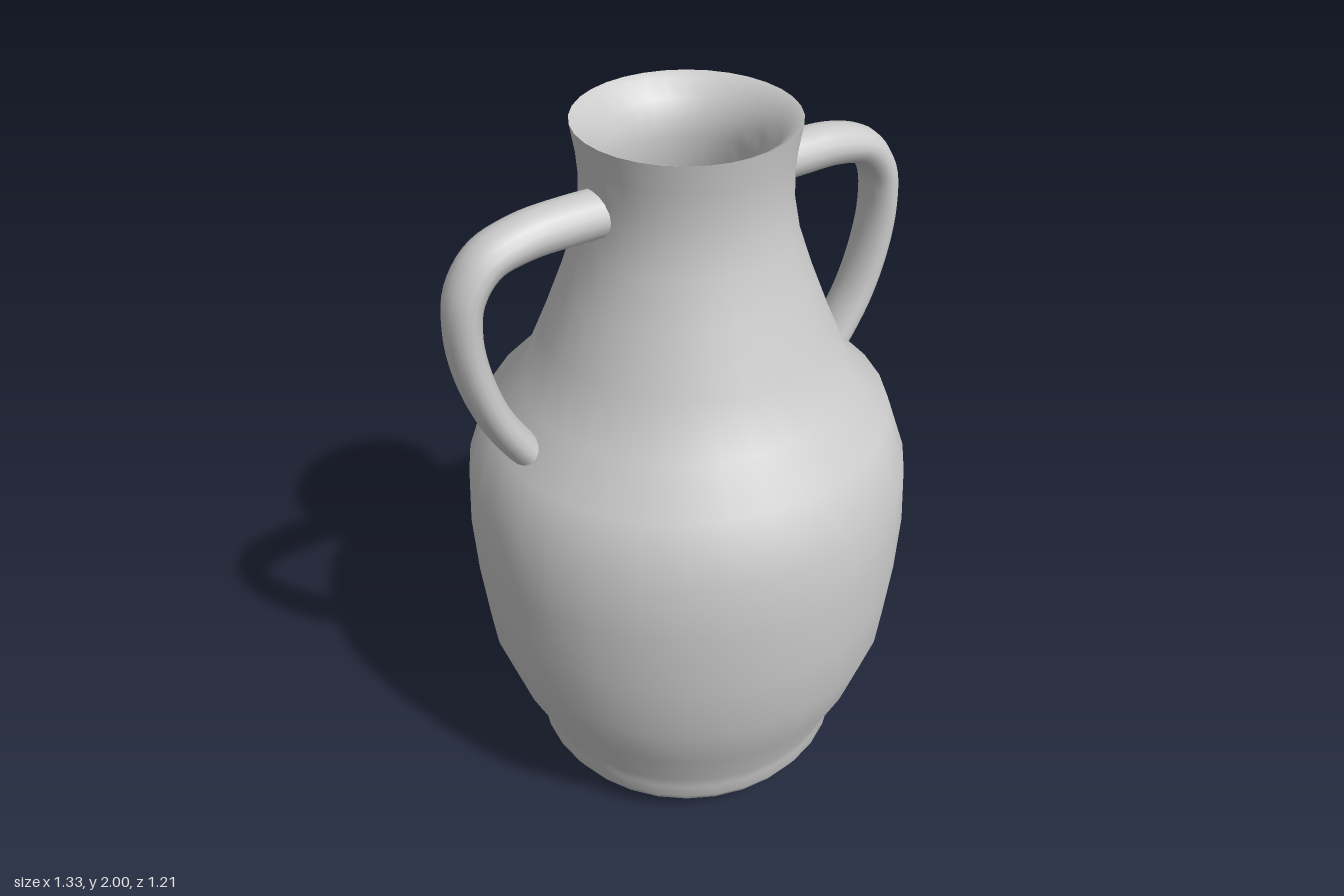
import * as THREE from 'three';
import { toCreasedNormals } from 'three/addons/utils/BufferGeometryUtils.js';

const material = new THREE.MeshStandardMaterial({ color: 0xcccccc });

// Hollow body: outer wall from the base up, over the rim, and down the inside to the floor
function makeBody() {
  const outer = [
    [0, 0], [0.15, 0.006], [0.3, 0.02], [0.38, 0.038], [0.43, 0.065], [0.45, 0.1],
    [0.452, 0.14], [0.465, 0.19], [0.53, 0.34], [0.58, 0.5], [0.598, 0.69], [0.605, 0.87],
    [0.595, 1.04], [0.54, 1.2], [0.44, 1.3], [0.375, 1.45], [0.32, 1.59], [0.279, 1.71],
    [0.264, 1.79], [0.261, 1.86], [0.266, 1.93], [0.277, 2],
  ];
  const inner = [
    [0.255, 1.99], [0.222, 1.95], [0.2, 1.91], [0.192, 1.86], [0.2, 1.77], [0.25, 1.59],
    [0.31, 1.44], [0.38, 1.26], [0.48, 1.16], [0.525, 1.03], [0.535, 0.87], [0.51, 0.51],
    [0.46, 0.36], [0.39, 0.18], [0.35, 0.1], [0, 0.09],
  ];
  const points = [...outer, ...inner].map(([r, y]) => new THREE.Vector2(r, y));
  return toCreasedNormals(new THREE.LatheGeometry(points, 32), 0.9);
}

// Handle: a bent tube, oval in section and thicker towards the neck
function makeHandle() {
  const path = new THREE.CatmullRomCurve3([
    [0.23, 1.818], [0.33, 1.82], [0.45, 1.815], [0.55, 1.785], [0.608, 1.71],
    [0.622, 1.61], [0.607, 1.49], [0.565, 1.36], [0.51, 1.26], [0.475, 1.21],
  ].map(([x, y]) => new THREE.Vector3(x, y, 0)));
  const rings = 48, sides = 16;
  const geometry = new THREE.TubeGeometry(path, rings, 1, sides, false);
  const position = geometry.attributes.position;
  const vertex = new THREE.Vector3();
  for (let i = 0; i <= rings; i++) {
    const t = i / rings;
    const centre = path.getPointAt(t);
    const thickness = THREE.MathUtils.lerp(0.058, 0.043, THREE.MathUtils.smoothstep(t, 0.1, 0.5));
    for (let j = 0; j <= sides; j++) {
      const k = i * (sides + 1) + j;
      vertex.fromBufferAttribute(position, k).sub(centre);
      vertex.set(vertex.x * thickness, vertex.y * thickness, vertex.z * 0.066).add(centre);
      position.setXYZ(k, vertex.x, vertex.y, vertex.z);
    }
  }
  return toCreasedNormals(geometry, 1.2);
}

export function createModel() {
  const model = new THREE.Group();
  model.name = 'vase';

  const body = new THREE.Mesh(makeBody(), material);
  body.name = 'body';
  model.add(body);

  // Matching handles on both sides
  const handleGeometry = makeHandle();
  for (const [name, turn] of [['leftHandle', 0], ['rightHandle', Math.PI]]) {
    const handle = new THREE.Mesh(handleGeometry, material);
    handle.name = name;
    handle.rotation.y = turn;
    model.add(handle);
  }
  return model;
}
